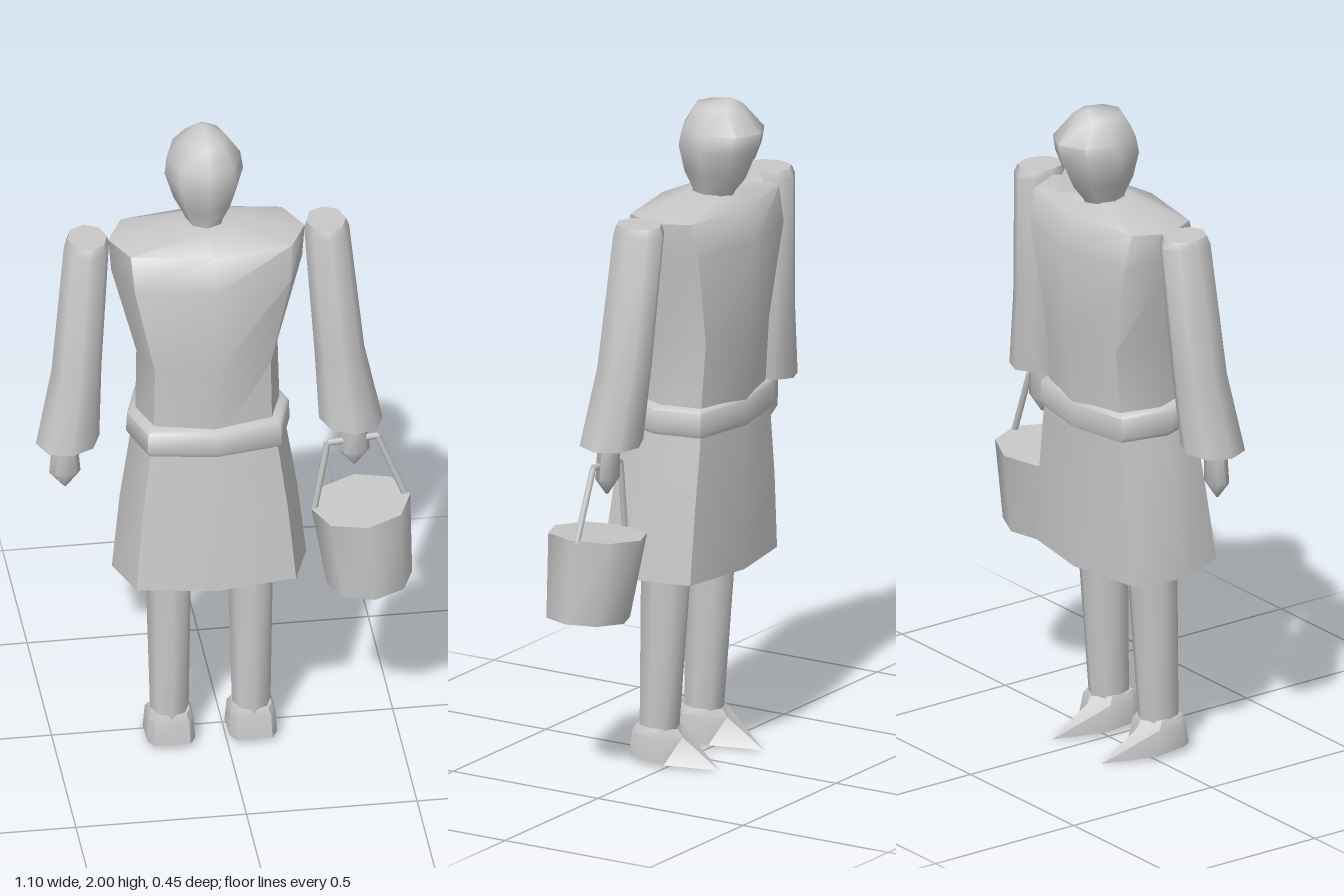
import * as THREE from 'three';
import { toCreasedNormals } from 'three/addons/utils/BufferGeometryUtils.js';

const grey = new THREE.MeshStandardMaterial({ color: 0xc8c8c8 });
grey.name = 'plain grey';

const AXIS = -0.043; // the body's own centre line

// Eight-sided ring; kx and kz place the diagonal corners, tiltX and tiltZ lean it.
function ring(cx, y, cz, hx, hz, { kx = 0.71, kz = 0.71, tiltX = 0, tiltZ = 0 } = {}) {
  const unit = [[1, 0], [kx, -kz], [0, -1], [-kx, -kz], [-1, 0], [-kx, kz], [0, 1], [kx, kz]];
  return unit.map(([u, w]) => [cx + u * hx, y + tiltX * u * hx + tiltZ * w * hz, cz + w * hz]);
}

// Skin a stack of rings, bottom to top, and cap both ends.
function loft(name, rings, crease = 0.95) {
  const n = rings[0].length;
  const pos = rings.flat(2);
  const index = [];
  for (let i = 0; i < rings.length - 1; i++) {
    for (let j = 0; j < n; j++) {
      const k = (j + 1) % n, a = i * n, b = a + n;
      index.push(a + j, a + k, b + k, a + j, b + k, b + j);
    }
  }
  [[rings[0], 0, true], [rings.at(-1), (rings.length - 1) * n, false]].forEach(([r, start, bottom]) => {
    const c = pos.length / 3;
    for (let d = 0; d < 3; d++) pos.push(r.reduce((s, p) => s + p[d], 0) / n);
    for (let j = 0; j < n; j++) {
      const k = (j + 1) % n;
      if (bottom) index.push(c, start + k, start + j);
      else index.push(c, start + j, start + k);
    }
  });
  const g = new THREE.BufferGeometry();
  g.setAttribute('position', new THREE.Float32BufferAttribute(pos, 3));
  g.setIndex(index);
  const mesh = new THREE.Mesh(toCreasedNormals(g, crease), grey);
  mesh.name = name;
  return mesh;
}

// Thin rod between two points.
function rod(name, a, b, r) {
  const p = new THREE.Vector3(...a), q = new THREE.Vector3(...b);
  const mesh = new THREE.Mesh(new THREE.CylinderGeometry(r, r, p.distanceTo(q), 6), grey);
  mesh.position.copy(p).add(q).multiplyScalar(0.5);
  mesh.quaternion.setFromUnitVectors(new THREE.Vector3(0, 1, 0), q.sub(p).normalize());
  mesh.name = name;
  return mesh;
}

export function createModel() {
  const model = new THREE.Group();
  model.name = 'figureWithBucket';

  // Head, tapering to the chin
  model.add(loft('head', [
    ring(AXIS, 1.69, -0.045, 0.05, 0.06),
    ring(AXIS, 1.725, -0.055, 0.06, 0.07),
    ring(AXIS, 1.78, -0.065, 0.09, 0.105),
    ring(AXIS, 1.86, -0.073, 0.115, 0.128),
    ring(AXIS, 1.91, -0.083, 0.108, 0.131),
    ring(AXIS, 1.978, -0.07, 0.065, 0.075),
    ring(AXIS, 2.0, -0.105, 0.012, 0.012),
  ], 1.05));

  // Nose: small three-sided wedge on the face
  const nose = new THREE.Mesh(new THREE.ConeGeometry(0.034, 0.07, 3).toNonIndexed(), grey);
  nose.geometry.computeVertexNormals();
  nose.rotation.y = Math.PI;
  nose.position.set(AXIS, 1.8, -0.19);
  nose.name = 'nose';
  model.add(nose);

  // Torso, belt and skirt
  const boxy = { kx: 0.82, kz: 0.72 };
  model.add(loft('torso', [
    ring(AXIS, 1.06, 0, 0.212, 0.16, boxy),
    ring(AXIS, 1.3, -0.01, 0.207, 0.17, boxy),
    ring(AXIS, 1.58, -0.015, 0.28, 0.18, boxy),
    ring(AXIS, 1.68, -0.02, 0.288, 0.145, boxy),
    ring(AXIS, 1.715, -0.035, 0.075, 0.07, boxy),
  ]));
  const beltShape = { kx: 0.82, kz: 0.8, tiltZ: 0.03 };
  model.add(loft('belt', [
    ring(AXIS, 1.025, 0.008, 0.232, 0.17, beltShape),
    ring(AXIS, 1.04, 0.009, 0.24, 0.176, beltShape),
    ring(AXIS, 1.1, 0.01, 0.237, 0.175, beltShape),
    ring(AXIS, 1.11, 0.008, 0.225, 0.165, beltShape),
  ]));
  const skirtShape = { kx: 0.82, kz: 0.8, tiltZ: 0.04 };
  model.add(loft('skirt', [
    ring(AXIS, 0.59, 0.033, 0.285, 0.19, skirtShape),
    ring(AXIS, 0.82, 0.018, 0.26, 0.177, skirtShape),
    ring(AXIS, 1.04, 0.006, 0.225, 0.165, skirtShape),
  ]));

  for (const s of [-1, 1]) {
    const side = s > 0 ? 'left' : 'right';
    const x = (d) => AXIS + s * d;

    // Sleeve widening to the cuff
    model.add(loft(side + 'Sleeve', [
      ring(x(0.415), 1.04, 0.036, 0.093, 0.095, { tiltX: -s * 0.07 }),
      ring(x(0.385), 1.27, 0.01, 0.073, 0.085),
      ring(x(0.352), 1.67, -0.018, 0.066, 0.081),
      ring(x(0.35), 1.695, -0.018, 0.058, 0.07),
    ]));

    // Hand ending in a point
    model.add(loft(side + 'Hand', [
      ring(x(0.424), 0.887, 0.045, 0.004, 0.004),
      ring(x(0.424), 0.935, 0.043, 0.046, 0.03),
      ring(x(0.424), 1.06, 0.038, 0.035, 0.032),
    ]));

    // Leg
    model.add(loft(side + 'Leg', [
      ring(x(0.12), 0.08, 0.06, 0.056, 0.06),
      ring(x(0.12), 0.62, 0.035, 0.068, 0.08),
    ]));

    // Shoe: blunt heel, pointed toe
    const sole = (w, heelY, heelZ, midY, midZ, toeY, toeZ) => [
      [x(0) + s * 0.12 + w, midY, midZ], [x(0.12), toeY, toeZ], [x(0.12) - w, midY, midZ],
      [x(0.12) - w, heelY, heelZ - 0.03], [x(0.12) - w * 0.75, heelY, heelZ],
      [x(0.12) + w * 0.75, heelY, heelZ], [x(0.12) + w, heelY, heelZ - 0.03],
    ];
    model.add(loft(side + 'Shoe', [
      sole(0.07, 0.018, 0.13, 0.01, 0.0, 0.0, -0.147),
      sole(0.066, 0.09, 0.122, 0.088, 0.015, 0.08, -0.02),
      sole(0.056, 0.11, 0.115, 0.11, 0.03, 0.103, -0.005),
    ], 0.6));
  }

  // Bucket, tilted slightly, hanging from the left hand
  const bucket = new THREE.Group();
  bucket.name = 'bucket';
  bucket.add(loft('bucketBody', [
    ring(0.42, 0.515, 0.085, 0.125, 0.123, { tiltX: 0.08 }),
    ring(0.397, 0.768, 0.067, 0.145, 0.147, { tiltX: 0.09 }),
  ]));
  const grip = [[0.262, 0.75, 0.06], [0.302, 0.968, 0.05], [0.448, 0.98, 0.05], [0.53, 0.77, 0.055]];
  for (let i = 0; i < 3; i++) bucket.add(rod('bucketHandle', grip[i], grip[i + 1], 0.01));
  model.add(bucket);

  return model;
}
